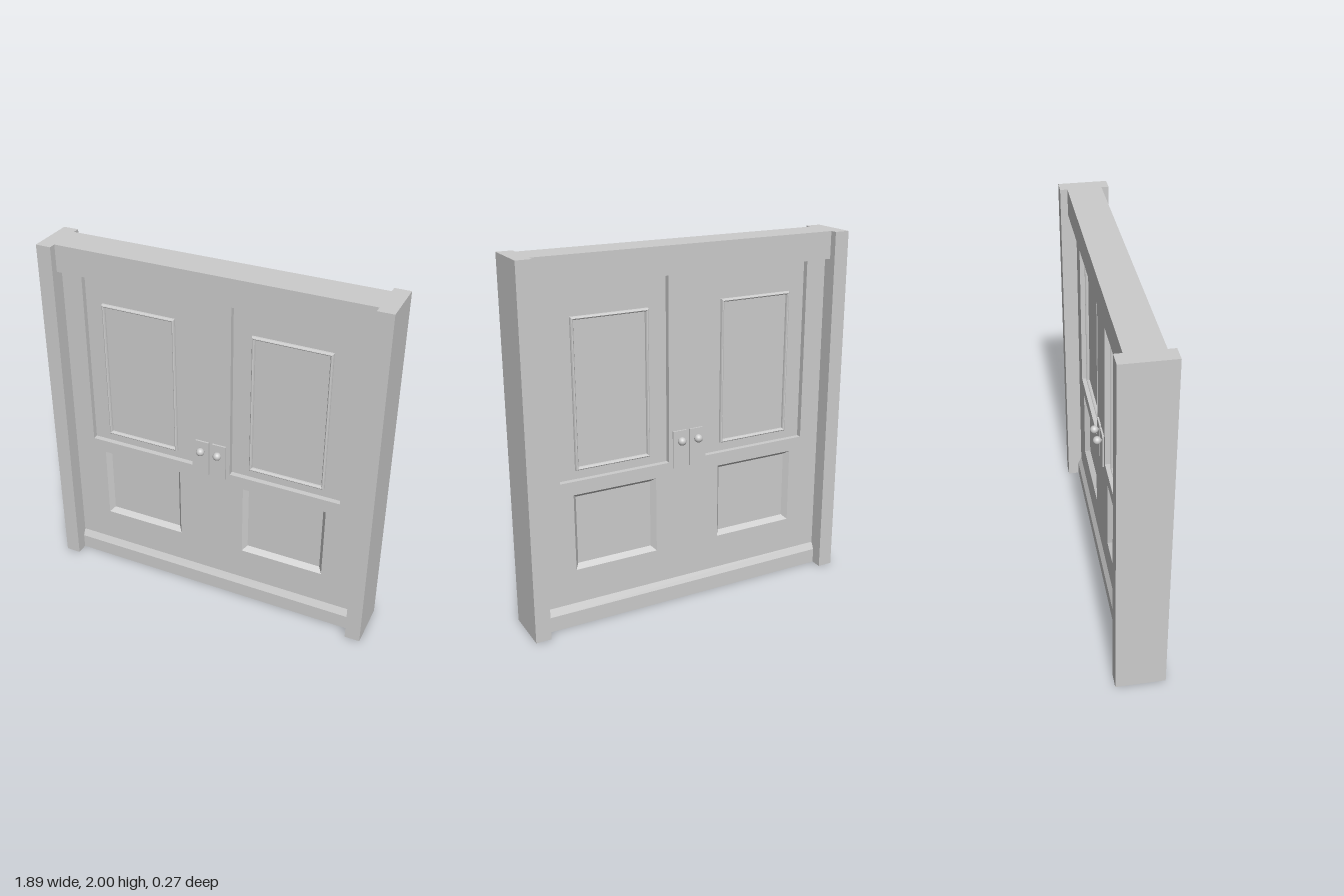
import * as THREE from 'three';

const material = new THREE.MeshStandardMaterial({ color: 0xcccccc });
const flat = new THREE.MeshStandardMaterial({ color: 0xcccccc, flatShading: true });

const JAMB_IN = 0.86, JAMB_OUT = 0.945;
const LEAF_Z = 0.05, CORE_Z = 0.02;

function add(parent, name, geometry, mat = material) {
  const mesh = new THREE.Mesh(geometry, mat);
  mesh.name = name;
  parent.add(mesh);
  return mesh;
}

// Box given by its limits on each axis
function box(x0, x1, y0, y1, z0, z1) {
  return new THREE.BoxGeometry(x1 - x0, y1 - y0, z1 - z0)
    .translate((x0 + x1) / 2, (y0 + y1) / 2, (z0 + z1) / 2);
}

// Corners of a rectangle, counter-clockwise, moved in by an inset
function corners([x0, x1, y0, y1], d = 0) {
  return [[x0 + d, y0 + d], [x1 - d, y0 + d], [x1 - d, y1 - d], [x0 + d, y1 - d]];
}

// Mitred moulding round a rectangle; profile points are [inset, z], outside to inside
function moulding(rect, profile) {
  const positions = [], index = [];
  for (const [inset, z] of profile) {
    for (const [x, y] of corners(rect, inset)) positions.push(x, y, z);
  }
  for (let i = 0; i < profile.length - 1; i++) {
    for (let j = 0; j < 4; j++) {
      const a = i * 4 + j, b = i * 4 + (j + 1) % 4;
      index.push(a, b, b + 4, a, b + 4, a + 4);
    }
  }
  const g = new THREE.BufferGeometry();
  g.setAttribute('position', new THREE.Float32BufferAttribute(positions, 3));
  g.setIndex(index);
  const out = g.toNonIndexed();
  out.computeVertexNormals();
  return out;
}

function polygon(points, Type = THREE.Shape) {
  return new Type(points.map(([x, y]) => new THREE.Vector2(x, y)));
}

// Rectangle mirrored to the left or right leaf
function onSide(s, [x0, x1, y0, y1]) {
  return s > 0 ? [x0, x1, y0, y1] : [-x1, -x0, y0, y1];
}

// Everything seen on one face of the doors
function createFace() {
  const face = new THREE.Group();
  const rails = polygon(corners([-JAMB_IN, JAMB_IN, 0, 1.9]));

  // Half-round bead profile for the upper panels
  const bead = [];
  for (let i = 0; i <= 6; i++) {
    const a = Math.PI * i / 6;
    bead.push([0.009 - 0.009 * Math.cos(a), CORE_Z + 0.018 * Math.sin(a)]);
  }

  for (const s of [-1, 1]) {
    const upper = onSide(s, [0.112, 0.742, 0.825, 1.85]);
    const lower = onSide(s, [0.192, 0.67, 0.32, 0.75]);
    for (const r of [upper, lower]) rails.holes.push(polygon(corners(r).reverse(), THREE.Path));

    add(face, 'upperPanelBead', moulding(onSide(s, [0.215, 0.645, 0.873, 1.682]), bead), flat);
    add(face, 'lowerPanelBevel', moulding(lower, [[0, LEAF_Z], [0.023, CORE_Z]]), flat);

    // Lock plate with its knob
    add(face, 'lockPlate', box(s * 0.05 - 0.04, s * 0.05 + 0.04, 0.79, 1.0, LEAF_Z - 0.005, 0.06));
    add(face, 'knobStem', new THREE.CylinderGeometry(0.01, 0.01, 0.03, 16)
      .rotateX(Math.PI / 2).translate(s * 0.05, 0.947, 0.068));
    add(face, 'knob', new THREE.SphereGeometry(0.023, 24, 16).translate(s * 0.05, 0.947, 0.082));
  }

  add(face, 'stilesAndRails', new THREE.ExtrudeGeometry(rails, {
    depth: LEAF_Z - CORE_Z, bevelEnabled: false,
  }).translate(0, 0, CORE_Z));
  return face;
}

export function createModel() {
  const model = new THREE.Group();
  model.name = 'doubleDoor';

  // Frame
  add(model, 'rightJamb', box(-JAMB_OUT, -JAMB_IN, 0, 2, -0.135, 0.135));
  add(model, 'leftJamb', box(JAMB_IN, JAMB_OUT, 0, 2, -0.135, 0.135));
  add(model, 'lintel', box(-JAMB_IN, JAMB_IN, 1.85, 2, -0.095, 0.095));

  // Door core, whose faces are the sunken panels
  add(model, 'panelCore', box(-JAMB_IN, JAMB_IN, 0, 1.9, -CORE_Z, CORE_Z));

  // Kick board with sloped top on both faces
  const kick = polygon([[-0.07, 0], [0.07, 0], [0.07, 0.085], [LEAF_Z, 0.125], [-LEAF_Z, 0.125], [-0.07, 0.085]]);
  add(model, 'kickBoard', new THREE.ExtrudeGeometry(kick, { depth: 2 * JAMB_IN, bevelEnabled: false })
    .translate(0, 0, -JAMB_IN).rotateY(Math.PI / 2));

  // Same face on front and back
  const front = createFace();
  front.name = 'frontFace';
  const back = createFace();
  back.name = 'backFace';
  back.rotation.y = Math.PI;
  model.add(front, back);
  return model;
}
